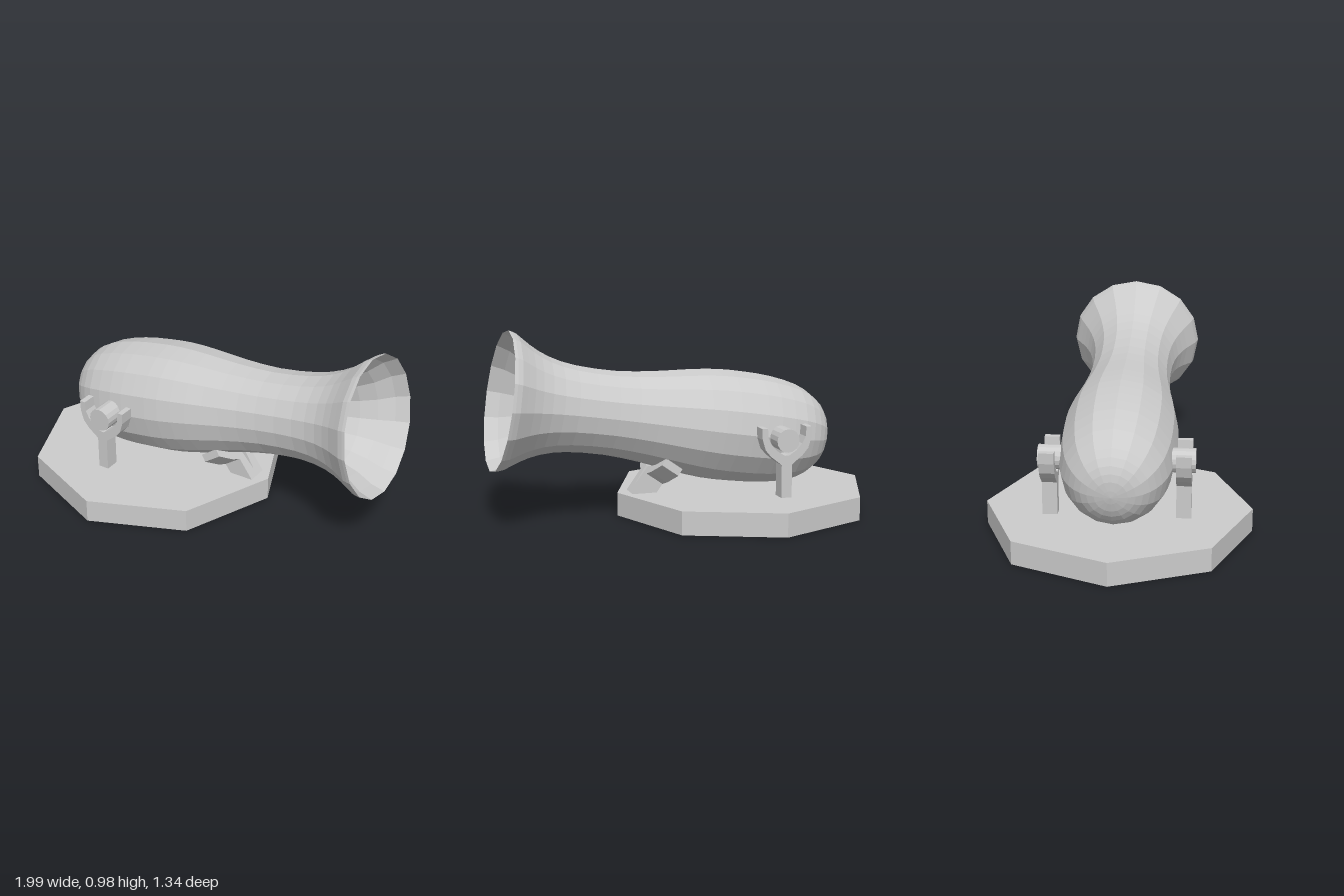
import * as THREE from 'three';

const material = new THREE.MeshStandardMaterial({ color: 0xcccccc, flatShading: true });

function addPart(parent, name, geometry) {
  const mesh = new THREE.Mesh(geometry, material);
  mesh.name = name;
  parent.add(mesh);
  return mesh;
}

const vectors = (list) => list.map(([x, y]) => new THREE.Vector2(x, y));

// Extrudes an outline and centres its thickness on z = 0
function plate(outline, depth) {
  const geometry = new THREE.ExtrudeGeometry(new THREE.Shape(vectors(outline)), { depth, bevelEnabled: false });
  return geometry.translate(0, 0, -depth / 2);
}

// Mirrors a half outline (listed bottom to top centre) across x = 0
const mirrored = (half) => [...half, ...half.slice().reverse().map(([x, y]) => [-x, y])];

export function createModel() {
  const model = new THREE.Group();
  model.name = 'cannon';

  // Octagonal base slab
  addPart(model, 'base', new THREE.CylinderGeometry(0.67, 0.67, 0.12, 8).translate(-0.33, 0.06, 0));

  // Barrel profile: [radius, distance along the axis from the pivot]
  const outer = new THREE.SplineCurve(vectors([
    [0, -0.352], [0.08, -0.342], [0.15, -0.312], [0.21, -0.25], [0.257, -0.15], [0.284, 0],
    [0.291, 0.15], [0.288, 0.3], [0.268, 0.46], [0.238, 0.64], [0.217, 0.84],
    [0.222, 1.05], [0.25, 1.19], [0.295, 1.29], [0.342, 1.365], [0.354, 1.407],
  ])).getPoints(30);
  const bore = vectors([
    [0.325, 1.34], [0.27, 1.27], [0.23, 1.19], [0.195, 1.06], [0.15, 0.94], [0.07, 0.88], [0, 0.86],
  ]);
  const barrel = addPart(model, 'barrel', new THREE.LatheGeometry([...outer, ...bore], 16));
  barrel.position.set(-0.45, 0.408, 0);
  barrel.rotation.z = -Math.PI / 2 + 0.156;

  // Side forks with trunnion pins
  const forkHalf = [
    [0.028, -0.31], [0.028, -0.125], [0.085, -0.08], [0.115, -0.045], [0.132, 0.01], [0.134, 0.065],
    [0.104, 0.065], [0.1, 0.015], [0.082, -0.02], [0.055, -0.05], [0.012, -0.078],
  ];
  for (const side of [1, -1]) {
    const mount = new THREE.Group();
    mount.name = side > 0 ? 'leftMount' : 'rightMount';
    mount.position.set(-0.445, 0.415, side * 0.33);
    addPart(mount, 'fork', plate(mirrored(forkHalf), 0.075));
    const pin = addPart(mount, 'trunnion', new THREE.CylinderGeometry(0.06, 0.06, 0.18, 16).rotateX(Math.PI / 2));
    pin.position.z = -side * 0.035;
    model.add(mount);
  }

  // Leaning front rest: two legs split by a narrow notch, arms spreading under the barrel
  const rest = new THREE.Group();
  rest.name = 'frontRest';
  const restHalf = [
    [0, -0.06], [0.055, -0.06], [0.055, 0.09], [0.1, 0.11], [0.18, 0.17],
    [0.175, 0.21], [0.09, 0.15], [0.015, 0.125], [0, 0],
  ];
  for (const side of [1, -1]) {
    const outline = restHalf.map(([x, y]) => [x * side, y]);
    addPart(rest, side > 0 ? 'rightRestArm' : 'leftRestArm', plate(outline, 0.105).rotateY(Math.PI / 2));
  }
  rest.position.set(0.21, 0.12, 0);
  rest.rotation.z = 0.62;
  model.add(rest);

  return model;
}
